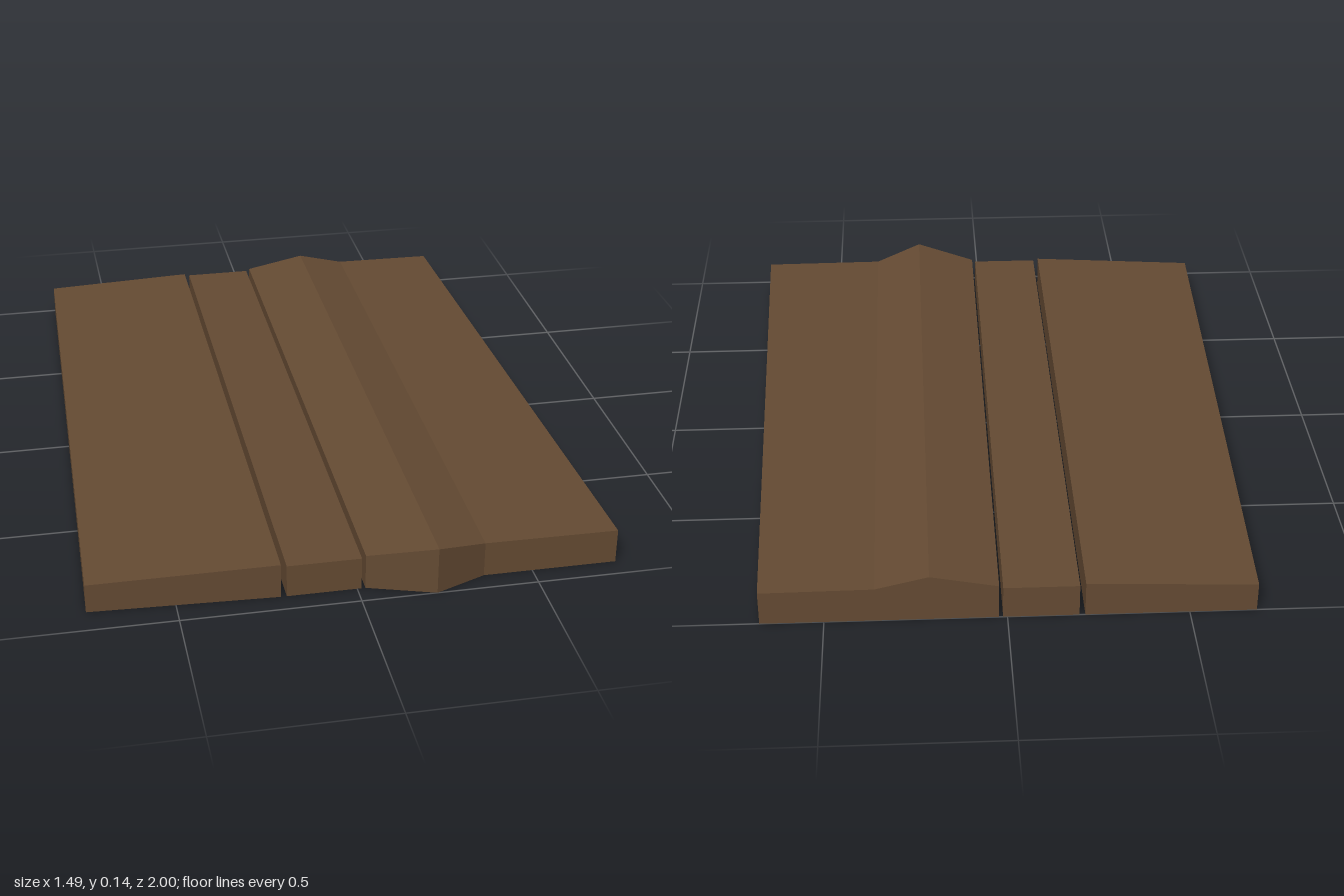
import * as THREE from 'three';

// Each plank is a box whose columns follow a profile across its width.
// Column: [x at front, x at back, top height, z of front end]
const BACK_Z = -1;
const planks = {
  rightPlank: [
    [-0.743, -0.685, 0.086, 0.915],
    [-0.213, -0.213, 0.103, 0.94],
  ],
  middlePlank: [
    [-0.197, -0.197, 0.097, 0.94],
    [0.012, 0.012, 0.097, 0.94],
  ],
  leftRidgedPlank: [
    [0.023, 0.023, 0.104, 0.94],
    [0.212, 0.212, 0.141, 1],
    [0.36, 0.36, 0.105, 0.94],
    [0.743, 0.675, 0.102, 0.94],
  ],
};

function plankGeometry(columns) {
  const spans = columns.length - 1;
  const geometry = new THREE.BoxGeometry(1, 1, 1, spans, 1, 1).toNonIndexed();
  const p = geometry.attributes.position;
  for (let i = 0; i < p.count; i++) {
    const [xFront, xBack, top, zFront] = columns[Math.round((p.getX(i) + 0.5) * spans)];
    const front = p.getZ(i) > 0;
    p.setXYZ(i, front ? xFront : xBack, p.getY(i) > 0 ? top : 0, front ? zFront : BACK_Z);
  }
  geometry.computeVertexNormals();
  return geometry;
}

export function createModel() {
  const group = new THREE.Group();
  group.name = 'planks';
  const wood = new THREE.MeshStandardMaterial({ color: 0x654b33 });
  wood.name = 'brown wood';
  wood.flatShading = true;

  for (const [name, columns] of Object.entries(planks)) {
    const mesh = new THREE.Mesh(plankGeometry(columns), wood);
    mesh.name = name;
    group.add(mesh);
  }
  return group;
}
